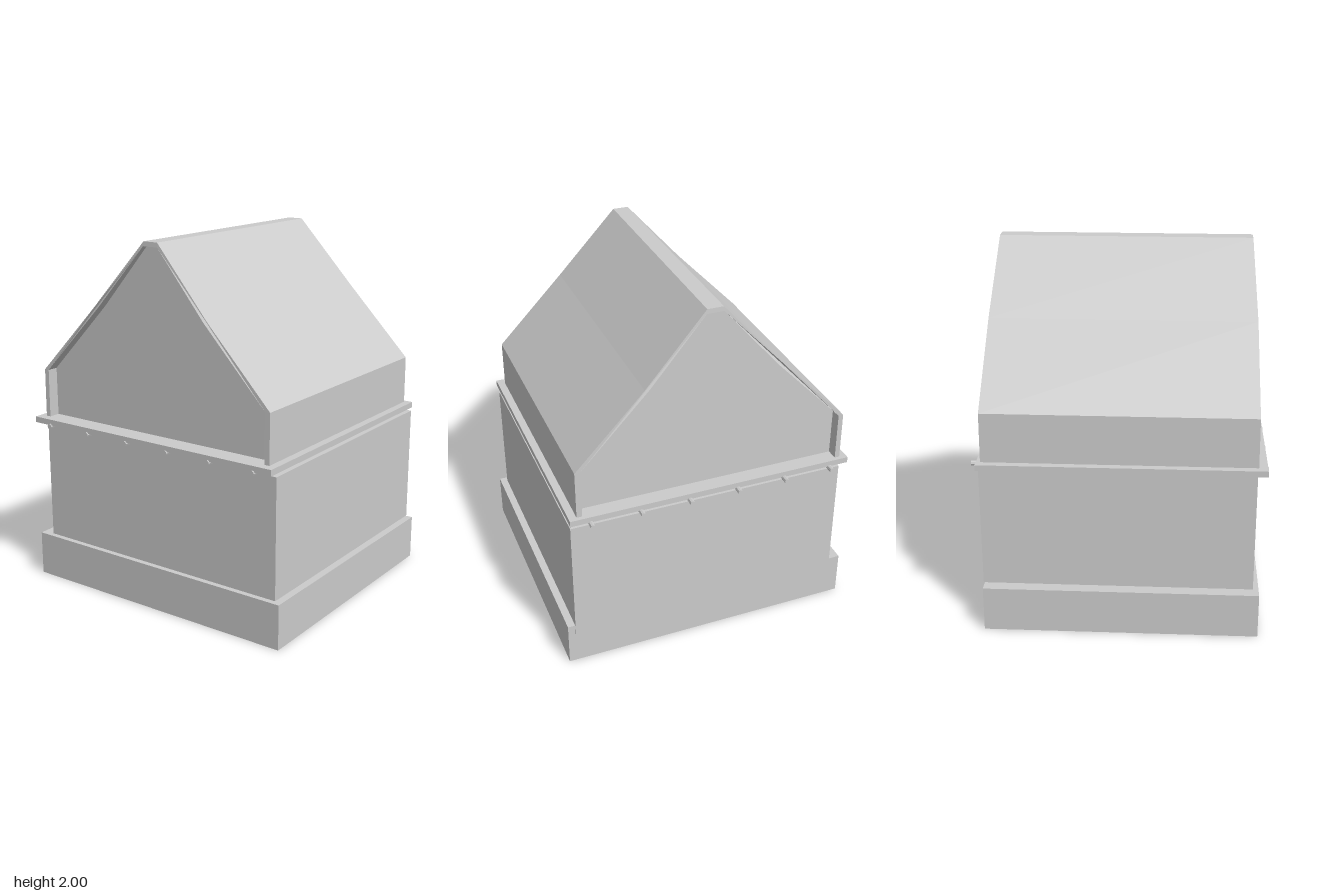
import * as THREE from 'three';

const material = new THREE.MeshStandardMaterial({ color: 0xcccccc, flatShading: true });

// Box given by its limits on each axis
function slab(name, [x0, x1], [y0, y1], [z0, z1]) {
  const mesh = new THREE.Mesh(new THREE.BoxGeometry(x1 - x0, y1 - y0, z1 - z0), material);
  mesh.name = name;
  mesh.position.set((x0 + x1) / 2, (y0 + y1) / 2, (z0 + z1) / 2);
  return mesh;
}

// Prism along x from a [z, y] profile, centred on x = 0
function prism(profile, width) {
  const shape = new THREE.Shape(profile.map(([z, y]) => new THREE.Vector2(-z, y)));
  return new THREE.ExtrudeGeometry(shape, { depth: width, bevelEnabled: false })
    .translate(0, 0, -width / 2)
    .rotateY(Math.PI / 2);
}

// Half width of the roof at a given height: it narrows towards the ridge
function roofHalfWidth(y) {
  const steps = [[0.965, 0.72], [1.235, 0.7175], [1.63, 0.71], [2, 0.686]];
  for (let i = 1; i < steps.length; i++) {
    const [y0, w0] = steps[i - 1], [y1, w1] = steps[i];
    if (y <= y1 + 1e-6) return THREE.MathUtils.mapLinear(y, y0, y1, w0, w1);
  }
  return steps[steps.length - 1][1];
}

export function createModel() {
  const model = new THREE.Group();
  model.name = 'gabledHouse';
  const centreX = -0.0025;

  // Plinth, walls and ledge
  model.add(
    slab('plinth', [-0.75, 0.726], [0, 0.25], [-0.827, 0.827]),
    slab('walls', [-0.72, 0.732], [0.19, 0.913], [-0.76, 0.786]),
    slab('ledge', [-0.77, 0.74], [0.932, 0.965], [-0.807, 0.787])
  );

  // Round beams that carry the ledge
  const beams = new THREE.Group();
  beams.name = 'beams';
  const beamGeometry = new THREE.CylinderGeometry(0.014, 0.014, 1.554, 8).rotateZ(Math.PI / 2);
  for (let i = 0; i < 6; i++) {
    const beam = new THREE.Mesh(beamGeometry, material);
    beam.name = 'beam';
    beam.position.set(0, 0.927, -0.696 + i * 0.2745);
    beams.add(beam);
  }
  model.add(beams);

  // Roof shell: outer outline, then back along the inner one
  const outer = [
    [0.745, 0.965], [0.745, 1.235], [0.365, 1.63], [0.032, 2],
    [-0.056, 2], [-0.385, 1.63], [-0.767, 1.235], [-0.767, 0.965],
  ];
  const inner = [
    [0.715, 0.965], [0.715, 1.235], [0.337, 1.63], [0.034, 1.975],
    [-0.058, 1.975], [-0.357, 1.63], [-0.739, 1.235], [-0.739, 0.965],
  ];
  const roofGeometry = prism([...outer, ...inner.slice().reverse()], 2);
  const pos = roofGeometry.attributes.position;
  for (let i = 0; i < pos.count; i++) {
    pos.setX(i, centreX + Math.sign(pos.getX(i)) * roofHalfWidth(pos.getY(i)));
  }
  roofGeometry.computeVertexNormals();
  const roof = new THREE.Mesh(roofGeometry, material);
  roof.name = 'roof';
  model.add(roof);

  // Attic block, whose ends are the recessed gables
  const attic = new THREE.Mesh(prism(inner, 1.31), material);
  attic.name = 'gables';
  attic.position.x = centreX;
  model.add(attic);

  return model;
}
